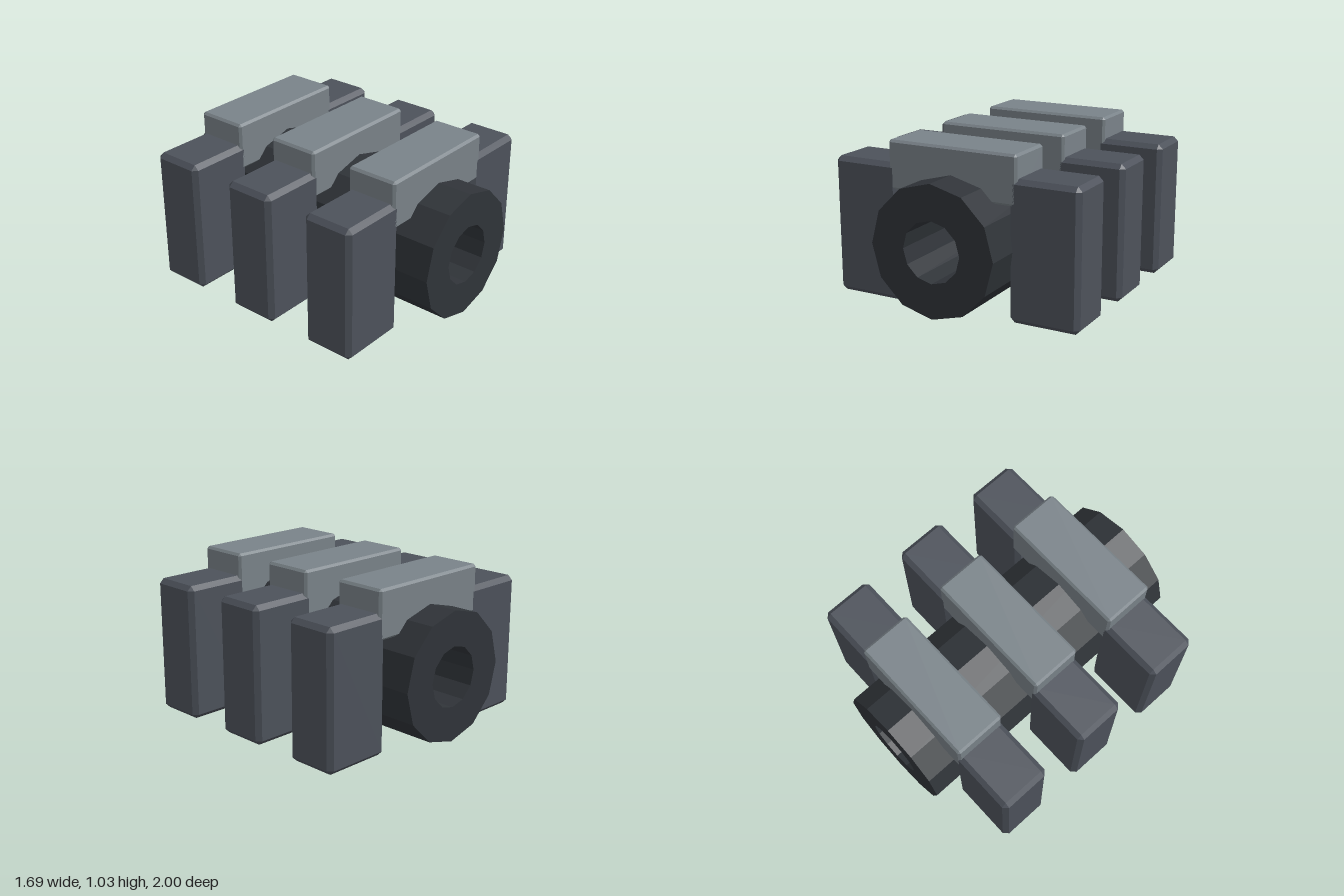
import * as THREE from 'three';
import { ConvexGeometry } from 'three/addons/geometries/ConvexGeometry.js';

const paint = (color) => new THREE.MeshStandardMaterial({ color, flatShading: true });

// Box with every edge cut by a flat chamfer c
function chamferedBox(w, h, d, c) {
  const points = [];
  for (const sx of [-1, 1]) for (const sy of [-1, 1]) for (const sz of [-1, 1]) {
    const x = w / 2, y = h / 2, z = d / 2;
    points.push(
      new THREE.Vector3(sx * x, sy * (y - c), sz * (z - c)),
      new THREE.Vector3(sx * (x - c), sy * y, sz * (z - c)),
      new THREE.Vector3(sx * (x - c), sy * (y - c), sz * z));
  }
  return new ConvexGeometry(points);
}

// Regular twelve-sided outline with a corner at the top
function ringPoints(radius) {
  return Array.from({ length: 12 }, (_, i) => {
    const a = (i / 12) * Math.PI * 2;
    return new THREE.Vector2(radius * Math.cos(a), radius * Math.sin(a));
  });
}

export function createModel() {
  const model = new THREE.Group();
  model.name = 'clampedPipe';

  const add = (parent, name, geometry, material, x, y, z) => {
    const mesh = new THREE.Mesh(geometry, material);
    mesh.name = name;
    mesh.position.set(x, y, z);
    parent.add(mesh);
  };

  // Hollow pipe running front to back
  const section = new THREE.Shape(ringPoints(0.415));
  section.holes.push(new THREE.Path(ringPoints(0.193)));
  const pipe = new THREE.ExtrudeGeometry(section, { depth: 2, bevelEnabled: false });
  add(model, 'pipe', pipe, paint(0x303439), 0, 0.445, -1);

  // Three clamps: a post on each side and a bridge across the top
  const post = chamferedBox(0.46, 0.885, 0.344, 0.03);
  const bridge = chamferedBox(0.88, 0.31, 0.344, 0.015);
  const postPaint = paint(0x4d525b);
  const bridgePaint = paint(0x7a8389);
  for (const z of [0.598, -0.018, -0.634]) {
    const clamp = new THREE.Group();
    clamp.name = 'clamp';
    clamp.position.z = z;
    add(clamp, 'leftPost', post, postPaint, 0.615, 0.4425, 0);
    add(clamp, 'rightPost', post, postPaint, -0.615, 0.4425, 0);
    add(clamp, 'bridge', bridge, bridgePaint, 0, 0.875, 0);
    model.add(clamp);
  }
  return model;
}
